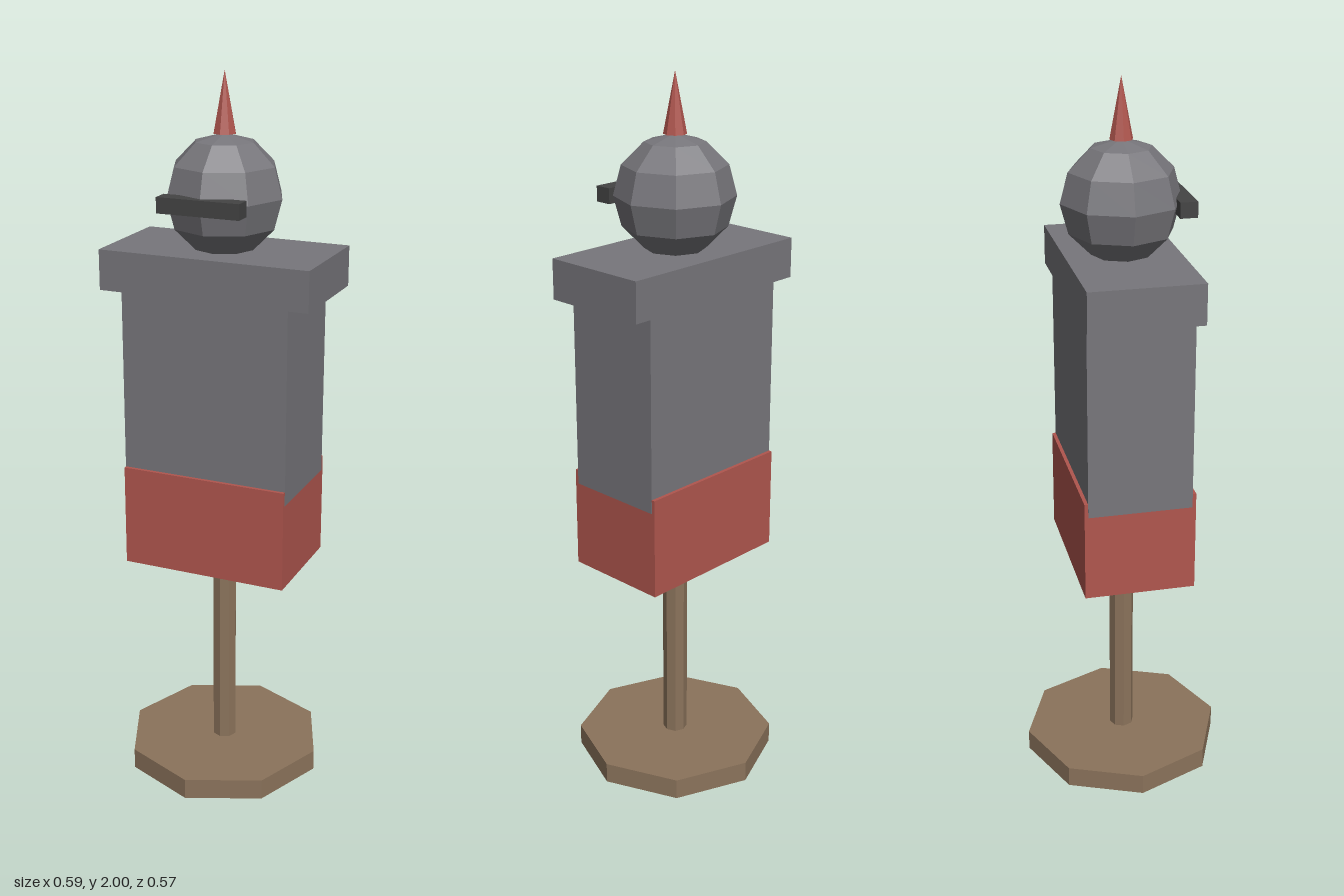
import * as THREE from 'three';

export function createModel() {
  const group = new THREE.Group();
  group.name = 'knightDummy';

  const paint = (name, color) => {
    const m = new THREE.MeshStandardMaterial({ color, flatShading: true });
    m.name = name;
    return m;
  };
  const wood = paint('wood', 0x8b735b);
  const steel = paint('steel', 0x77767b);
  const red = paint('red', 0xb0564e);
  const dark = paint('darkSlit', 0x444444);

  const add = (name, geometry, material, y, z = 0) => {
    const mesh = new THREE.Mesh(geometry, material);
    mesh.name = name;
    mesh.position.set(0, y, z);
    group.add(mesh);
  };
  // Parts defined by their bottom and top heights
  const box = (name, w, d, y0, y1, material, z = 0) =>
    add(name, new THREE.BoxGeometry(w, y1 - y0, d), material, (y0 + y1) / 2, z);
  const round = (name, rTop, rBottom, y0, y1, material) =>
    add(name, new THREE.CylinderGeometry(rTop, rBottom, y1 - y0, 8), material, (y0 + y1) / 2);

  // Stand
  round('base', 0.285, 0.285, 0, 0.06, wood);
  round('pole', 0.035, 0.035, 0.06, 0.66, wood);

  // Torso: the skirt is deeper than the body and overlaps its lower edge
  box('skirt', 0.472, 0.306, 0.645, 0.93, red);
  box('body', 0.473, 0.286, 0.89, 1.43, steel);
  box('shoulders', 0.592, 0.306, 1.43, 1.54, steel);

  // Helmet with eye slit and crest spike
  add('helmet', new THREE.SphereGeometry(0.162, 8, 6), steel, 1.68);
  box('eyeSlit', 0.23, 0.047, 1.655, 1.697, dark, 0.1515);
  round('spike', 0, 0.031, 1.84, 2, red);

  return group;
}
